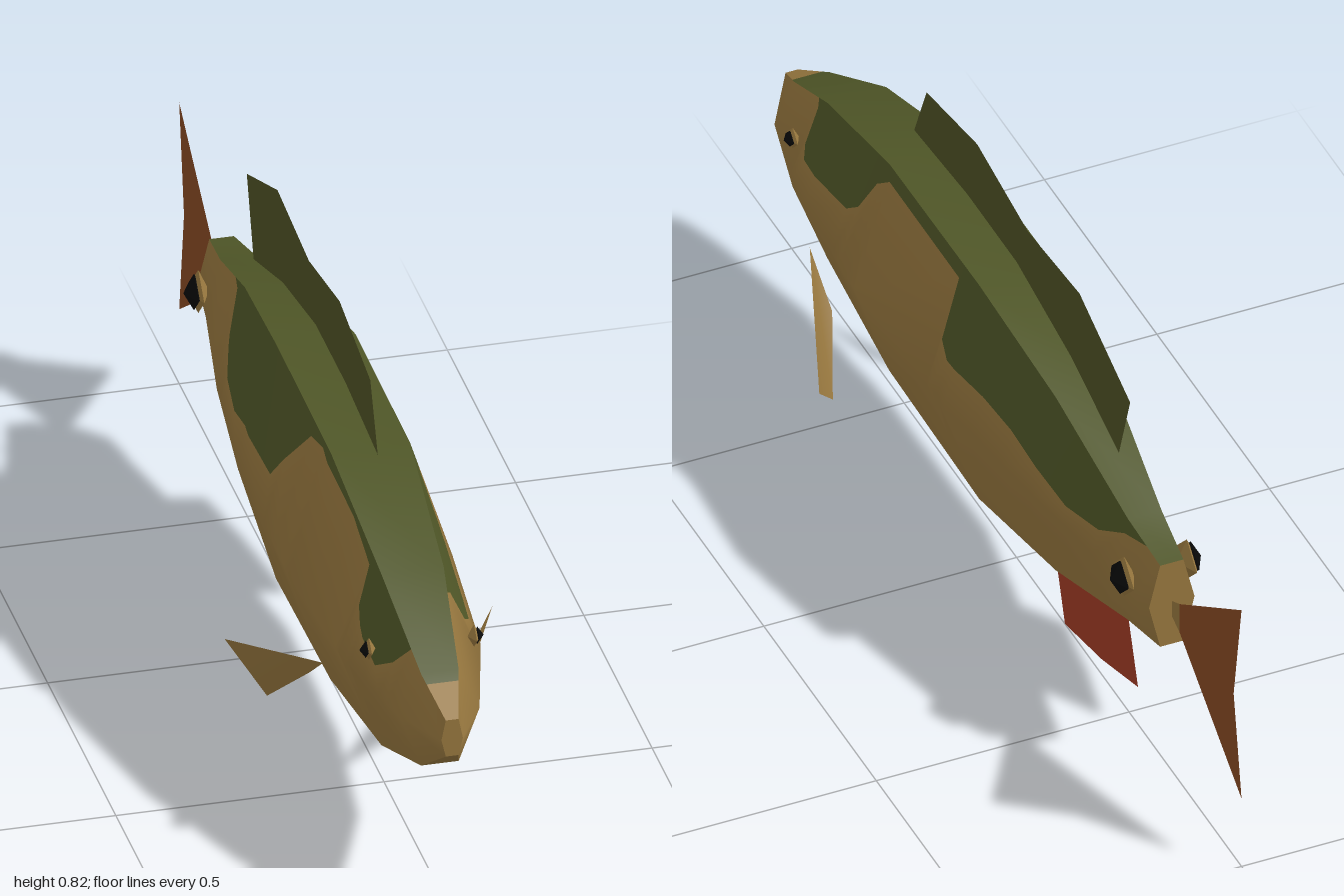
import * as THREE from 'three';

const mat = (name, color, side = THREE.FrontSide) => {
  const m = new THREE.MeshStandardMaterial({ color, side });
  m.name = name;
  return m;
};

// Body stations from nose to tail: z, top y, middle y, bottom y, middle half width, edge half width
const STATIONS = [
  [1.0, 0.405, 0.365, 0.33, 0.02, 0.012],
  [0.91, 0.455, 0.37, 0.265, 0.074, 0.035],
  [0.71, 0.555, 0.385, 0.2, 0.127, 0.058],
  [0.4, 0.64, 0.395, 0.168, 0.153, 0.074],
  [0.0, 0.645, 0.395, 0.157, 0.145, 0.074],
  [-0.3, 0.595, 0.39, 0.2, 0.108, 0.056],
  [-0.57, 0.5, 0.385, 0.27, 0.06, 0.033],
  [-0.69, 0.475, 0.385, 0.29, 0.045, 0.023],
];

// Lower edge of the olive back on each flank: z, y
const LEFT_EDGE = [
  [1, 0.7], [0.76, 0.7], [0.745, 0.52], [0.735, 0.455], [0.71, 0.44], [0.65, 0.445], [0.5, 0.48],
  [0.46, 0.51], [0.42, 0.585], [0.38, 0.615], [0.07, 0.615], [0.065, 0.49], [0.03, 0.468],
  [-0.1, 0.472], [-0.2, 0.465], [-0.4, 0.425], [-0.5, 0.435], [-0.57, 0.47], [-0.64, 0.487], [-0.69, 0.49],
];
const RIGHT_EDGE = [
  [1, 0.7], [0.86, 0.6], [0.83, 0.44], [0.79, 0.415], [0.73, 0.44], [0.68, 0.48], [0.66, 0.55],
  [0.55, 0.59], [0.36, 0.628], [0.29, 0.615], [0.2, 0.52], [0.16, 0.47], [-0.04, 0.46],
  [-0.14, 0.435], [-0.25, 0.44], [-0.32, 0.49], [-0.36, 0.56], [-0.4, 0.7], [-0.69, 0.7],
];

// Linear lookup in a table ordered by falling z
function lookup(table, z) {
  let i = 0;
  while (i < table.length - 2 && z < table[i + 1][0]) i++;
  const a = table[i], b = table[i + 1], t = (a[0] - z) / (a[0] - b[0]);
  return a.map((v, k) => v + (b[k] - v) * t);
}

const columns = (...lists) => [...new Set(lists.flat())].sort((a, b) => b - a);
const zs = (table) => table.map((r) => r[0]);

// Smooth panel lofted through columns of points; pick(band, z) chooses material 0 or 1
function panel(cols, pick, flip = false) {
  const n = cols[0].length, sets = [[], []];
  for (let j = 0; j < cols.length - 1; j++) {
    for (let i = 0; i < n - 1; i++) {
      const a = j * n + i, b = a + n;
      const z = (cols[j][0][2] + cols[j + 1][0][2]) / 2;
      const q = flip ? [a, b + 1, b, a, a + 1, b + 1] : [a, b, b + 1, a, b + 1, a + 1];
      sets[pick(i, z)].push(...q);
    }
  }
  const g = new THREE.BufferGeometry();
  g.setAttribute('position', new THREE.Float32BufferAttribute(cols.flat(2), 3));
  g.setIndex([...sets[0], ...sets[1]]);
  g.addGroup(0, sets[0].length, 0);
  g.addGroup(sets[0].length, sets[1].length, 1);
  g.computeVertexNormals();
  return g;
}

// Flat polygon as a fan around its first point
function sheet(points) {
  const g = new THREE.BufferGeometry();
  g.setAttribute('position', new THREE.Float32BufferAttribute(points.flat(), 3));
  const index = [];
  for (let i = 1; i < points.length - 1; i++) index.push(0, i, i + 1);
  g.setIndex(index);
  g.computeVertexNormals();
  return g;
}

// Upright fin on the centre plane from a z, y outline
function centreFin(outline) {
  const g = new THREE.ShapeGeometry(new THREE.Shape(outline.map(([z, y]) => new THREE.Vector2(z, y))));
  return g.rotateY(-Math.PI / 2);
}

export function createModel() {
  const tan = mat('tan scales', 0x98783f);
  const olive = mat('olive back', 0x4f5627);
  const tanFin = mat('tan fin', 0x98783f, THREE.DoubleSide);
  tanFin.name = 'tan fin';
  const oliveFin = mat('olive fin', 0x4e5125, THREE.DoubleSide);
  const red = mat('red fin', 0xa23c25, THREE.DoubleSide);
  const rust = mat('rust tail', 0x884a24, THREE.DoubleSide);
  const black = mat('black eye', 0x080808);

  const model = new THREE.Group();
  model.name = 'fish';
  const add = (name, geometry, material) => {
    const m = new THREE.Mesh(geometry, material);
    m.name = name;
    model.add(m);
    return m;
  };

  // Flanks, split along the edge of the olive back
  for (const [name, s, edge] of [['leftFlank', 1, LEFT_EDGE], ['rightFlank', -1, RIGHT_EDGE]]) {
    const cols = columns(zs(STATIONS), zs(edge)).map((z) => {
      const [, top, mid, bottom, w, e] = lookup(STATIONS, z);
      const y = Math.min(top, Math.max(mid, lookup(edge, z)[1]));
      const x = w + ((e - w) * (y - mid)) / (top - mid);
      return [[s * e, bottom, z], [s * w, mid, z], [s * x, y, z], [s * e, top, z]];
    });
    add(name, panel(cols, (band) => (band === 2 ? 1 : 0), s < 0), [tan, olive]);
  }

  // Back and belly
  const strip = (row, s) => columns(zs(STATIONS), [0.93]).map((z) => {
    const r = lookup(STATIONS, z);
    return [[s * r[5], r[row], z], [-s * r[5], r[row], z]];
  });
  add('back', panel(strip(1, 1), (band, z) => (z < 0.93 ? 1 : 0)), [tan, olive]);
  add('belly', panel(strip(3, -1), () => 0), [tan, olive]);

  // Closed ends of the body
  const ring = ([z, top, mid, bottom, w, e]) => [
    [e, bottom, z], [w, mid, z], [e, top, z], [-e, top, z], [-w, mid, z], [-e, bottom, z],
  ];
  add('noseTip', sheet(ring(STATIONS[0])), tan);
  add('tailEnd', sheet(ring(STATIONS[STATIONS.length - 1]).reverse()), tan);

  // Fins on the centre plane
  add('dorsalFin', centreFin([
    [0.455, 0.655], [0.4, 0.78], [0.175, 0.82], [-0.05, 0.78], [-0.28, 0.8],
    [-0.505, 0.71], [-0.455, 0.56], [-0.24, 0.63], [0, 0.675], [0.22, 0.675],
  ]), oliveFin);
  add('analFin', centreFin([
    [-0.165, 0.155], [-0.32, 0.185], [-0.49, 0.235], [-0.54, 0.085], [-0.38, 0.035], [-0.215, 0],
  ]), red);
  add('tailFin', centreFin([
    [-0.725, 0.405], [-1, 0.585], [-0.965, 0.37], [-1, 0.155], [-0.725, 0.34],
  ]), rust);
  add('tailRoot', centreFin([
    [-0.685, 0.385], [-0.725, 0.405], [-0.725, 0.34], [-0.685, 0.355],
  ]), tanFin);

  // Paired fins and the diamond eyes and tail spots
  for (const [side, s] of [['left', 1], ['right', -1]]) {
    add(side + 'PectoralFin', sheet([
      [s * 0.14, 0.325, 0.605], [s * 0.14, 0.25, 0.505], [s * 0.19, 0.145, 0.39], [s * 0.25, 0.23, 0.315],
    ]), tanFin);

    const diamond = (name, r, depth, x, y, z, material) => {
      const m = add(side + name, new THREE.OctahedronGeometry(1), material);
      m.scale.set(depth, r, r);
      m.position.set(s * x, y, z);
    };
    diamond('EyeRim', 0.023, 0.012, 0.098, 0.442, 0.775, tan);
    diamond('Eye', 0.018, 0.012, 0.104, 0.442, 0.775, black);
    diamond('SpotRim', 0.045, 0.02, 0.062, 0.412, -0.617, tan);
    diamond('Spot', 0.038, 0.02, 0.07, 0.412, -0.617, black);
  }
  return model;
}
